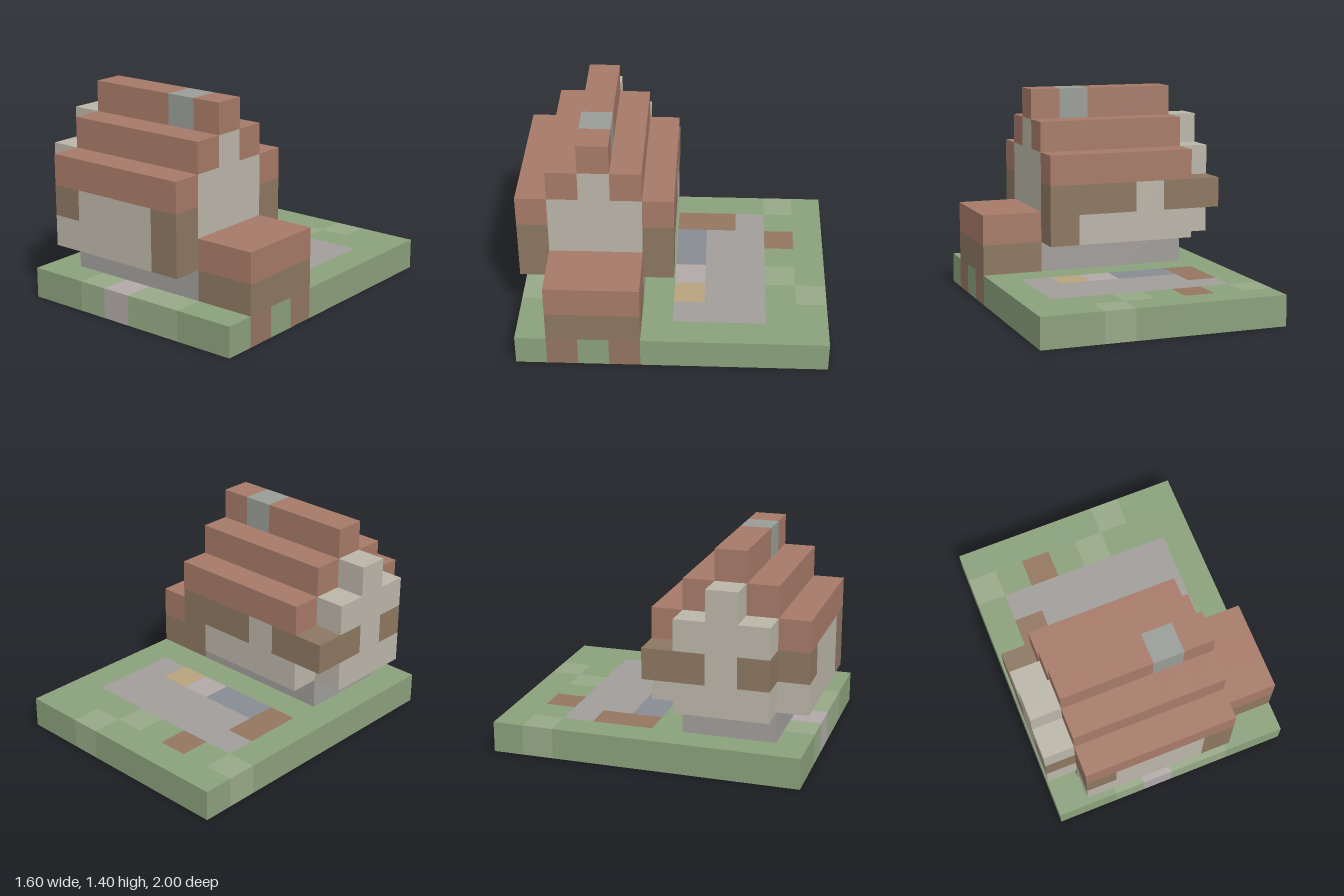
import * as THREE from 'three';
import { mergeGeometries } from 'three/addons/utils/BufferGeometryUtils.js';

const U = 0.2; // edge of one block
const GREEN = 0x8aa07b, LIGHT = 0x97a987, STONE = 0xa09d9a, PALE = 0xb0a9a8, SLATE = 0x888b91;
const ROOF = 0xa67a68, PLASTER = 0xbab5a8, WOOD = 0x8c7761, DIRT = 0x937660, SAND = 0xb5a37c;

// The six faces of a block: outward direction and the turn of a plane facing +z
const FACES = [
  [[1, 0, 0], 0, Math.PI / 2], [[-1, 0, 0], 0, -Math.PI / 2],
  [[0, 1, 0], -Math.PI / 2, 0], [[0, -1, 0], Math.PI / 2, 0],
  [[0, 0, 1], 0, 0], [[0, 0, -1], 0, Math.PI],
];

export function createModel() {
  const blocks = new Map();
  const key = (x, y, z) => `${x},${y},${z}`;

  // Fills a range of blocks; a later fill recolours an earlier one
  const fill = (part, color, x0, x1, y0, y1, z0, z1) => {
    for (let x = x0; x < x1; x++)
      for (let y = y0; y < y1; y++)
        for (let z = z0; z < z1; z++) blocks.set(key(x, y, z), { part, color, p: [x, y, z] });
  };

  // Lawn with lighter tufts
  fill('lawn', GREEN, -4, 4, 0, 1, -5, 5);
  const tufts = [[1, -5], [-4, -4], [0, -4], [-2, 4], [0, 4], [1, 4]];
  for (const [x, z] of tufts) fill('lawn', LIGHT, x, x + 1, 0, 1, z, z + 1);

  // Paved yard behind the house, and the path at the front
  fill('pavedYard', STONE, -3, 3, 0, 1, -3, 0);
  fill('pavedYard', SLATE, -2, 0, 0, 1, -1, 0);
  fill('pavedYard', PALE, 0, 1, 0, 1, -1, 0);
  fill('pavedYard', SAND, 1, 2, 0, 1, -1, 0);
  fill('frontPath', PALE, -1, 0, 0, 1, 4, 5);

  // Bare earth patches
  fill('earthPatch', DIRT, -3, -2, 0, 1, -2, 0);
  fill('earthPatch', DIRT, -2, -1, 0, 1, -4, -3);
  for (const z of [1, 3]) fill('earthPatch', DIRT, 3, 4, 0, 1, z, z + 1);

  // Foundation and overhanging upper storey
  fill('foundation', STONE, -3, 2, 1, 2, 1, 4);
  fill('walls', PLASTER, -3, 2, 2, 5, 0, 5);
  fill('walls', PLASTER, -3, 2, 5, 6, 2, 3);

  // Timber posts and beams
  for (const z of [0, 4]) {
    fill('timbers', WOOD, 1, 2, 2, 4, z, z + 1);
    fill('timbers', WOOD, -3, -2, 3, 4, z, z + 1);
  }
  fill('timbers', WOOD, -1, 1, 3, 4, 0, 1);

  // Projecting gable on the right side, with its beam ends
  fill('gable', PLASTER, -4, -3, 2, 5, 1, 4);
  fill('gable', PLASTER, -4, -3, 5, 6, 2, 3);
  for (const z of [0, 1, 3]) fill('beamEnds', WOOD, -4, -3, 3, 4, z, z + 1);

  // Stepped roof and chimney
  for (let i = 0; i < 3; i++)
    for (const z of [i, 4 - i]) fill('roof', ROOF, -3, 2, 4 + i, 5 + i, z, z + 1);
  fill('chimney', 0x999c97, 0, 1, 6, 7, 2, 3);

  // Side annex
  fill('annex', WOOD, 2, 4, 1, 2, 1, 4);
  fill('annexRoof', ROOF, 2, 4, 2, 3, 1, 4);

  // Outer faces of the blocks, collected by part and colour
  const batches = new Map();
  for (const { part, color, p } of blocks.values()) {
    for (const [dir, rx, ry] of FACES) {
      const [nx, ny, nz] = p.map((v, i) => v + dir[i]);
      if (ny < 0 || blocks.has(key(nx, ny, nz))) continue; // the underside stays open
      const face = new THREE.PlaneGeometry(U, U).rotateX(rx).rotateY(ry);
      face.translate(...p.map((v, i) => (v + 0.5 + dir[i] / 2) * U));
      const id = `${part}|${color}`;
      if (!batches.has(id)) batches.set(id, { part, color, faces: [] });
      batches.get(id).faces.push(face);
    }
  }

  const model = new THREE.Group();
  model.name = 'blockHouse';
  const groups = {};
  for (const { part, color, faces } of batches.values()) {
    if (!groups[part]) {
      groups[part] = new THREE.Group();
      groups[part].name = part;
      model.add(groups[part]);
    }
    const mesh = new THREE.Mesh(
      mergeGeometries(faces),
      new THREE.MeshStandardMaterial({ color, side: THREE.DoubleSide })
    );
    mesh.name = part;
    groups[part].add(mesh);
  }
  return model;
}
